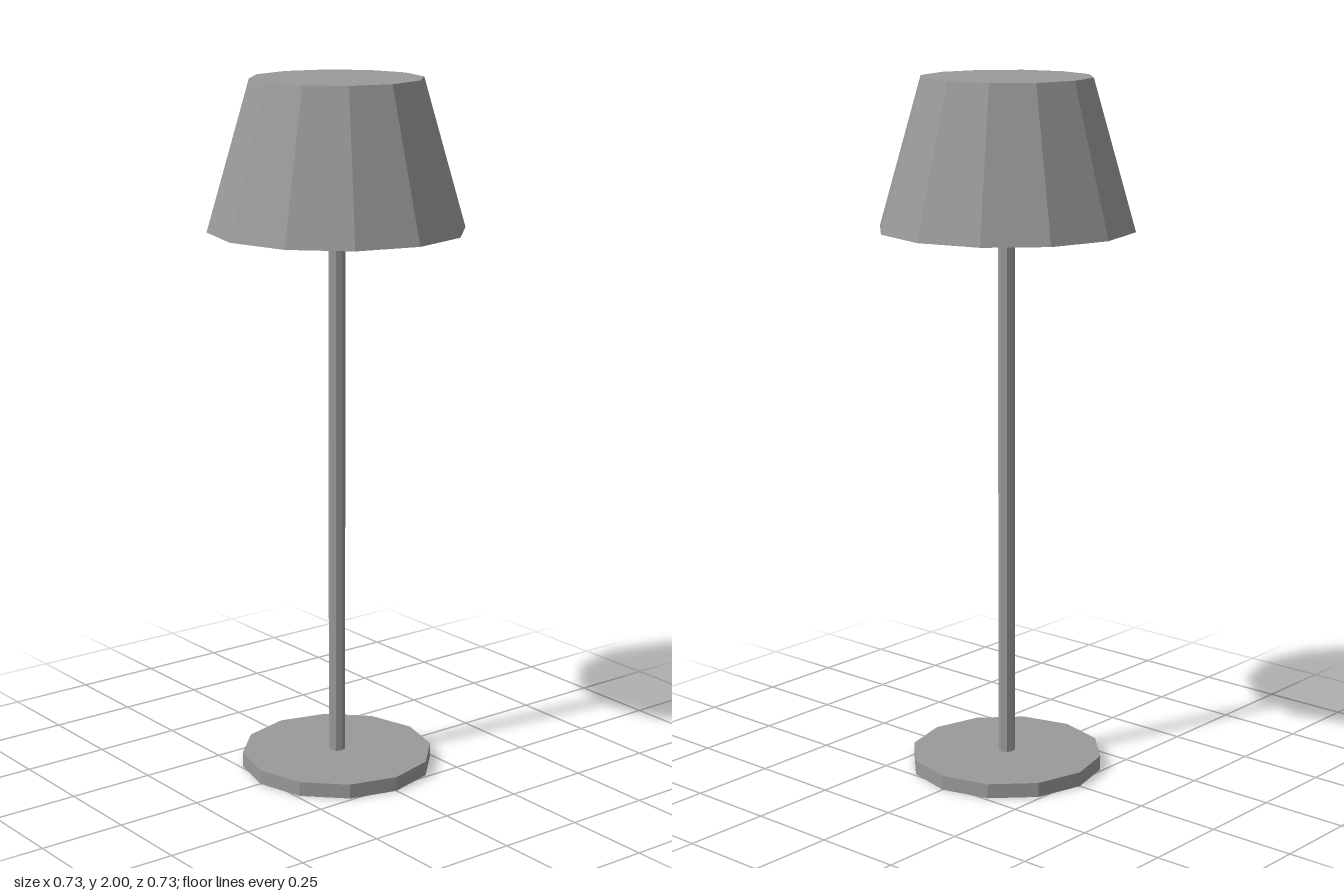
import * as THREE from 'three';

export function createModel() {
  const lamp = new THREE.Group();
  lamp.name = 'floorLamp';

  const grey = new THREE.MeshStandardMaterial({ color: 0x999999, flatShading: true });
  grey.name = 'grey';

  // Faceted, capped column standing between two heights
  function addColumn(name, topRadius, bottomRadius, bottom, top, sides) {
    const geometry = new THREE.CylinderGeometry(topRadius, bottomRadius, top - bottom, sides);
    const mesh = new THREE.Mesh(geometry, grey);
    mesh.name = name;
    mesh.position.y = (bottom + top) / 2;
    lamp.add(mesh);
  }

  addColumn('base', 0.278, 0.278, 0, 0.042, 12);
  addColumn('pole', 0.024, 0.024, 0.042, 1.58, 8);
  addColumn('shade', 0.242, 0.363, 1.58, 2, 12);

  return lamp;
}
